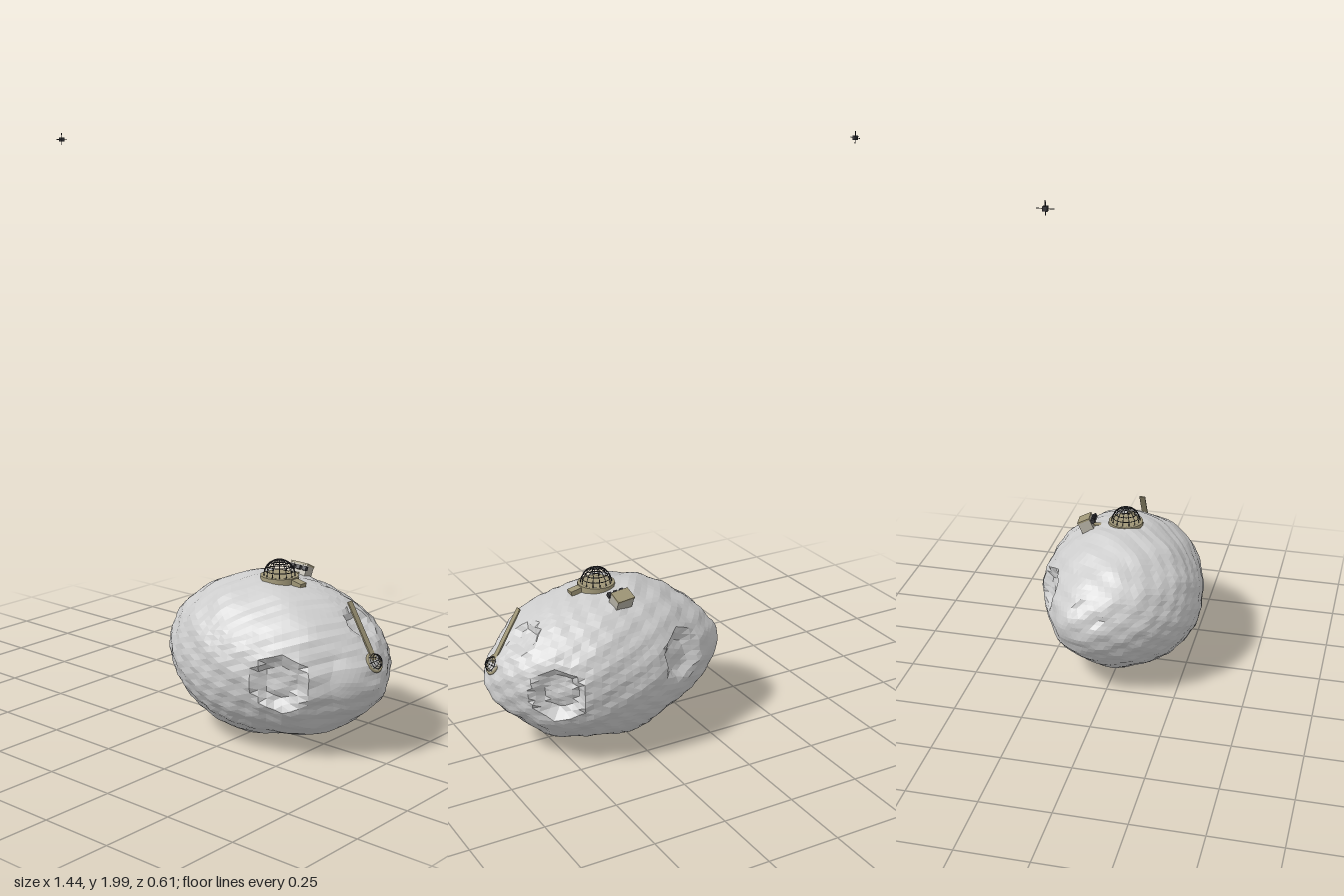
import * as THREE from 'three';

const mat = (name, color, extra = {}) => {
  const m = new THREE.MeshStandardMaterial({ color, ...extra });
  m.name = name;
  return m;
};

function add(parent, name, geometry, material, pos = [0, 0, 0], rot = [0, 0, 0]) {
  const mesh = new THREE.Mesh(geometry, material);
  mesh.name = name;
  mesh.position.set(...pos);
  mesh.rotation.set(...rot);
  parent.add(mesh);
  return mesh;
}

// Outline of the rock at eleven even stations from its -x end to its +x end
const top = [0.3, 0.435, 0.487, 0.525, 0.543, 0.543, 0.53, 0.51, 0.475, 0.415, 0.27];
const bottom = [0.3, 0.14, 0.075, 0.04, 0.012, 0.01, 0.025, 0.045, 0.07, 0.14, 0.27];
const front = [-0.05, 0.17, 0.24, 0.28, 0.3, 0.295, 0.28, 0.265, 0.225, 0.14, 0];
const back = [-0.05, -0.185, -0.228, -0.262, -0.295, -0.305, -0.3, -0.285, -0.255, -0.175, 0];

// Craters: centre, radius, depth
const craters = [
  [0.505, 0.275, 0.24, 0.09, 0.035],
  [0.57, 0.285, -0.23, 0.09, 0.035],
  [0.11, 0.33, -0.24, 0.085, 0.03],
  [0.61, 0.43, -0.05, 0.06, 0.022],
  [-0.09, 0.36, -0.05, 0.06, 0.012],
].map(([x, y, z, r, depth]) => ({ c: new THREE.Vector3(x, y, z), r, depth }));

// Middle and full-sphere half size of the outline between two curves at t in -1..1
function section(hi, lo, t) {
  const f = (t + 1) * 5;
  const i = Math.min(9, Math.max(0, Math.floor(f)));
  const half = (k) => {
    const j = Math.min(9, Math.max(1, k));
    const s = j / 5 - 1;
    return (hi[j] - lo[j]) / 2 / Math.sqrt(1 - s * s);
  };
  const mid = (k) => (hi[k] + lo[k]) / 2;
  return [
    THREE.MathUtils.lerp(mid(i), mid(i + 1), f - i),
    THREE.MathUtils.lerp(half(i), half(i + 1), f - i),
  ];
}

function asteroidGeometry() {
  const geo = new THREE.IcosahedronGeometry(1, 15);
  const p = geo.attributes.position;
  const d = new THREE.Vector3();
  const v = new THREE.Vector3();
  const core = new THREE.Vector3(0.3, 0.28, 0);
  for (let i = 0; i < p.count; i++) {
    d.fromBufferAttribute(p, i).normalize();
    const [cy, hy] = section(top, bottom, d.x);
    const [cz, hz] = section(front, back, d.x);
    v.set(0.3 + 0.415 * d.x, cy + d.y * hy, cz + d.z * hz);
    // Small bumps
    const bump = 0.004 * Math.sin(9 * d.x + 4 * d.y) * Math.sin(8 * d.z - 5 * d.y + 1)
      + 0.004 * Math.sin(23 * d.x + 11 * d.z) * Math.sin(21 * d.y - 9 * d.x + 2);
    let push = bump;
    // Hollows with a crisp rim
    for (const { c, r, depth } of craters) {
      const k = v.distanceTo(c) / r;
      if (k < 1) push -= depth * Math.min(1, (1 - k) * 3.5);
    }
    v.addScaledVector(v.clone().sub(core).normalize(), push);
    p.setXYZ(i, v.x, Math.max(0, v.y), v.z);
  }
  geo.computeVertexNormals();
  return geo;
}

// Open lattice dome of ribs and rings, pole along +y
function latticeDome(name, radius, bar, ribs, material) {
  const dome = new THREE.Group();
  dome.name = name;
  for (let i = 0; i < ribs; i++) {
    add(dome, 'domeRib', new THREE.TorusGeometry(radius, bar, 4, 14, Math.PI), material,
      [0, 0, 0], [0, (i * Math.PI) / ribs, 0]);
  }
  for (const lat of [0, 0.32, 0.64, 0.96, 1.28]) {
    add(dome, 'domeRing', new THREE.TorusGeometry(radius * Math.cos(lat), bar, 4, 24), material,
      [0, radius * Math.sin(lat), 0], [Math.PI / 2, 0, 0]);
  }
  return dome;
}

export function createModel() {
  const rock = mat('rock grey', 0xcccccc, { flatShading: true });
  const tan = mat('tan metal', 0x9f9677);
  const dark = mat('dark frame', 0x36363a);
  const pale = mat('pale panel', 0xb4b0a4);

  const model = new THREE.Group();
  model.name = 'asteroidBase';
  add(model, 'asteroid', asteroidGeometry(), rock);

  // Domed station on the summit
  const station = new THREE.Group();
  station.name = 'summitStation';
  station.position.set(0.307, 0.537, 0);
  model.add(station);
  add(station, 'platform', new THREE.CylinderGeometry(0.064, 0.066, 0.024, 18), tan);
  const dome = latticeDome('latticeDome', 0.053, 0.0015, 7, dark);
  dome.position.y = 0.011;
  station.add(dome);
  add(station, 'entrance', new THREE.BoxGeometry(0.055, 0.02, 0.03), tan, [0.073, -0.004, 0], [0, 0, -0.2]);

  // Side module joined to the platform by a walkway
  add(station, 'walkway', new THREE.BoxGeometry(0.018, 0.008, 0.09), tan, [-0.014, -0.01, -0.09], [0, 0.18, 0]);
  const module = new THREE.Group();
  module.name = 'sideModule';
  module.position.set(-0.022, -0.008, -0.142);
  module.rotation.set(-0.45, 0.12, 0);
  station.add(module);
  add(module, 'moduleBody', new THREE.BoxGeometry(0.064, 0.044, 0.046), pale);
  add(module, 'moduleRoof', new THREE.BoxGeometry(0.066, 0.006, 0.048), tan, [0, 0.024, 0]);
  for (const x of [-0.018, 0.006, 0.03]) {
    add(module, 'moduleFitting', new THREE.BoxGeometry(0.014, 0.014, 0.016), dark, [x, 0.008, 0.03]);
  }

  // Sloping beam leading down to the small end dome
  const outpost = new THREE.Group();
  outpost.name = 'endOutpost';
  outpost.position.set(0.695, 0.335, 0);
  outpost.rotation.z = -1.04;
  model.add(outpost);
  add(outpost, 'beam', new THREE.BoxGeometry(0.2, 0.005, 0.022), tan, [-0.105, 0.004, 0]);
  add(outpost, 'outpostRing', new THREE.TorusGeometry(0.031, 0.005, 6, 20), tan, [0, 0, 0], [Math.PI / 2, 0, 0]);
  add(outpost, 'outpostFloor', new THREE.CylinderGeometry(0.03, 0.03, 0.004, 20), pale);
  const smallDome = latticeDome('smallLatticeDome', 0.026, 0.001, 4, dark);
  outpost.add(smallDome);

  // Tiny satellite high above
  const satellite = new THREE.Group();
  satellite.name = 'satellite';
  satellite.position.set(-0.715, 1.977, 0);
  model.add(satellite);
  add(satellite, 'satelliteBody', new THREE.BoxGeometry(0.014, 0.014, 0.014), dark);
  add(satellite, 'satelliteMast', new THREE.CylinderGeometry(0.0015, 0.0015, 0.042, 6), dark, [0, 0.002, 0]);
  add(satellite, 'satelliteBoom', new THREE.CylinderGeometry(0.0012, 0.0012, 0.052, 6), dark,
    [0, 0, 0], [Math.PI / 2, 0, 0]);
  return model;
}
